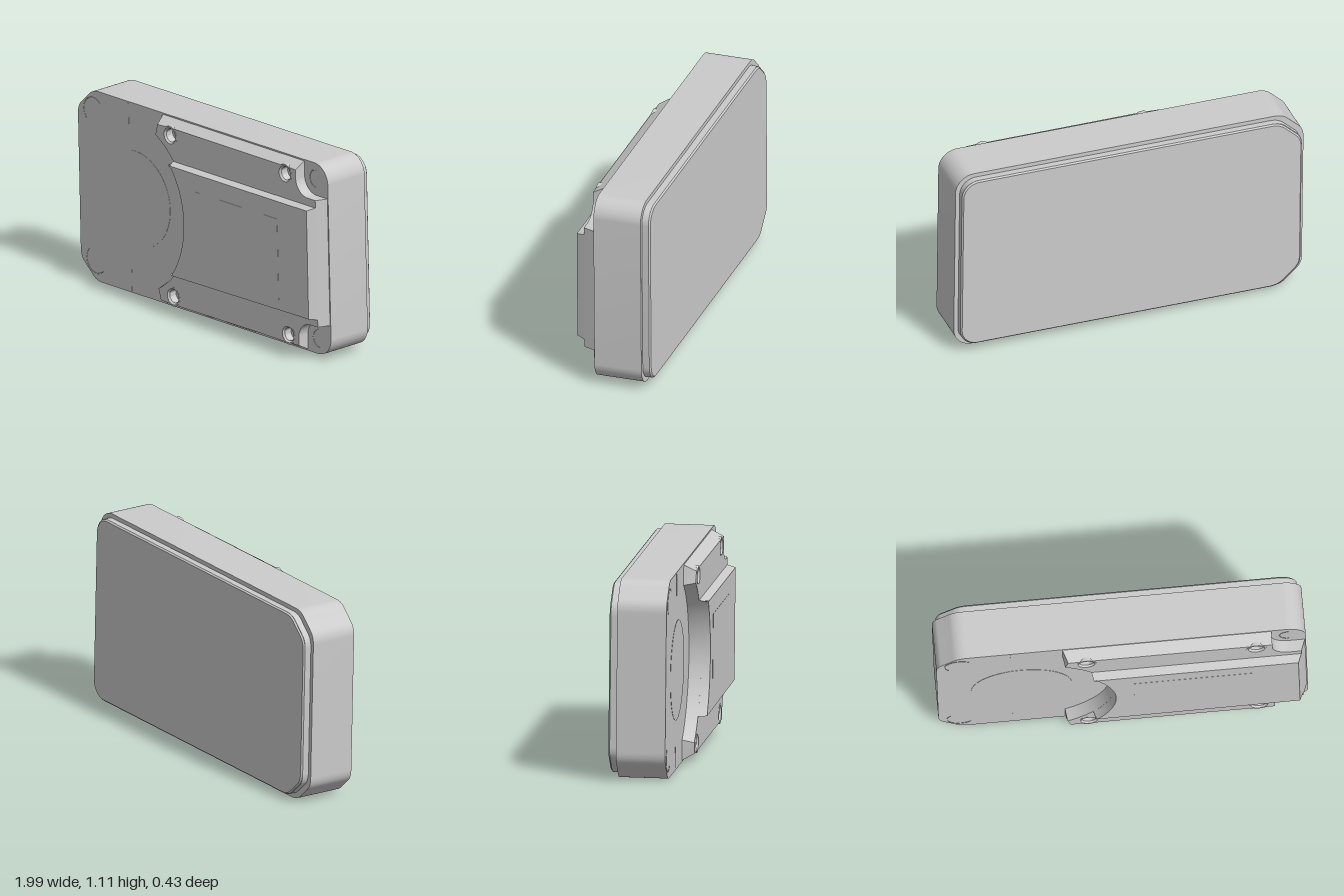
import * as THREE from 'three';
import { toCreasedNormals } from 'three/addons/utils/BufferGeometryUtils.js';

const material = new THREE.MeshStandardMaterial({ color: 0xcccccc });
const ARC_X = -0.553, ARC_R = 0.483; // circular edge of the round recess

function add(parent, name, geometry, x = 0, y = 0, z = 0) {
  const mesh = new THREE.Mesh(geometry, material);
  mesh.name = name;
  mesh.position.set(x, y, z);
  parent.add(mesh);
  return mesh;
}

// Case outline inset by o: chamfered left corners, round right corners
function caseOutline(o) {
  const w = 0.991 - o, h = 0.538 - o, r = 0.105 - o * 0.5;
  const s = new THREE.Shape();
  s.moveTo(-w + 0.17, -h);
  s.lineTo(w - r, -h);
  s.absarc(w - r, -h + r, r, -Math.PI / 2, 0, false);
  s.lineTo(w, h - r);
  s.absarc(w - r, h - r, r, 0, Math.PI / 2, false);
  s.lineTo(-w + 0.17, h);
  s.quadraticCurveTo(-w + 0.12, h, -w + 0.09, h - 0.03);
  s.lineTo(-w + 0.03, h - 0.085);
  s.quadraticCurveTo(-w, h - 0.11, -w, h - 0.16);
  s.lineTo(-w, -h + 0.16);
  s.quadraticCurveTo(-w, -h + 0.11, -w + 0.03, -h + 0.085);
  s.lineTo(-w + 0.09, -h + 0.03);
  s.quadraticCurveTo(-w + 0.12, -h, -w + 0.17, -h);
  return s;
}

// Extrusion whose front end is moved by a taper rule, for sloped walls
function extrude(shape, depth, taper) {
  const g = new THREE.ExtrudeGeometry(shape, { depth, bevelEnabled: false, curveSegments: 32 });
  const p = g.attributes.position;
  if (taper) for (let i = 0; i < p.count; i++) {
    if (p.getZ(i) < depth / 2) continue;
    const [x, y] = taper(p.getX(i), p.getY(i));
    p.setXY(i, x, y);
  }
  return toCreasedNormals(g, 0.5);
}

// Pushes points lying on the circular edge outward by d
function pushArc(x, y, r, d) {
  const len = Math.hypot(x - ARC_X, y);
  if (Math.abs(len - r) > 0.003) return null;
  return [ARC_X + (x - ARC_X) * (r + d) / r, y * (r + d) / r];
}

export function createModel() {
  const model = new THREE.Group();
  model.name = 'enclosure';
  const unit = new THREE.Group();
  unit.name = 'case';
  unit.position.y = 0.556;
  unit.rotation.set(0.012, 0, 0.016);
  model.add(unit);

  // Main housing and back lid
  add(unit, 'housing', extrude(caseOutline(0), 0.265), 0, 0, -0.165);
  add(unit, 'backLid', extrude(caseOutline(0.023), 0.042), 0, 0, -0.202);
  const edge = extrude(caseOutline(0.023), 0.008);
  edge.rotateY(Math.PI).scale(-1, 1, 1);
  edge.dispose();
  add(unit, 'lidChamfer', toCreasedNormals(new THREE.ExtrudeGeometry(caseOutline(0.031), {
    depth: 0.002, bevelThickness: 0.008, bevelSize: 0.008, bevelSegments: 1, curveSegments: 32,
  }), 0.5), 0, 0, -0.202);

  // Raised plateau with circular left edge and notched right corners
  const a = Math.asin(0.419 / ARC_R);
  const plateau = new THREE.Shape();
  plateau.moveTo(-0.313, -0.419);
  plateau.lineTo(-0.313, -0.53);
  plateau.lineTo(0.807, -0.53);
  plateau.lineTo(0.807, -0.45);
  plateau.absarc(0.9, -0.45, 0.093, Math.PI, Math.PI / 2, true);
  plateau.lineTo(0.985, -0.357);
  plateau.lineTo(0.985, 0.357);
  plateau.lineTo(0.9, 0.357);
  plateau.absarc(0.9, 0.45, 0.093, -Math.PI / 2, -Math.PI, true);
  plateau.lineTo(0.807, 0.53);
  plateau.lineTo(-0.313, 0.53);
  plateau.absarc(ARC_X, 0, ARC_R, a, -a, true);
  const screws = [];
  for (const x of [-0.19, 0.722]) for (const y of [-0.453, 0.453]) screws.push([x, y]);
  for (const [x, y] of screws) {
    const hole = new THREE.Path();
    hole.absarc(x, y, 0.046, 0, Math.PI * 2, true);
    plateau.holes.push(hole);
  }
  add(unit, 'plateau', extrude(plateau, 0.065, (x, y) => {
    const onArc = Math.abs(y) < 0.425 && x < 0 && pushArc(x, y, ARC_R, 0.016);
    if (onArc) return onArc;
    if (x < -0.31) x += 0.025;
    if (x > 0.98) x -= 0.025;
    if (Math.abs(y) > 0.525) y -= Math.sign(y) * 0.035;
    return [x, y];
  }), 0, 0, 0.1);

  // Raised centre panel
  const r = ARC_R + 0.016, b = Math.asin(0.315 / r);
  const panel = new THREE.Shape();
  panel.moveTo(0.96, -0.315);
  panel.lineTo(0.96, 0.315);
  panel.absarc(ARC_X, 0, r, b, -b, true);
  add(unit, 'centrePanel', extrude(panel, 0.047, (x, y) => {
    let q = (x < 0 && pushArc(x, y, r, 0.012)) || [x, y];
    if (x > 0.95) q[0] -= 0.02;
    if (Math.abs(y) > 0.31) q[1] = Math.sign(y) * 0.305;
    return q;
  }), 0, 0, 0.165);
  add(unit, 'labelPlate', new THREE.BoxGeometry(0.65, 0.455, 0.004), 0.38, -0.022, 0.211);

  // Screw bosses with countersunk holes
  const profile = [[0.054, 0], [0.054, 0.066], [0.045, 0.066], [0.036, 0.056], [0.036, 0.012], [0, 0.012]]
    .map(([x, y]) => new THREE.Vector2(x, y));
  const boss = toCreasedNormals(new THREE.LatheGeometry(profile, 32).rotateX(Math.PI / 2), 0.5);
  for (const [x, y] of screws) add(unit, 'screwBoss', boss, x, y, 0.1);

  // Fine marks on the flat left face
  const disc = new THREE.CylinderGeometry(0.27, 0.27, 0.003, 64).rotateX(Math.PI / 2);
  add(unit, 'roundMark', disc, -0.54, 0, 0.1);
  for (const side of [-1, 1]) {
    add(unit, 'tickMark', new THREE.BoxGeometry(0.006, 0.12, 0.003), -0.59, side * 0.47, 0.1);
    const arc = add(unit, 'cornerMark', new THREE.TorusGeometry(0.075, 0.002, 6, 24, Math.PI), -0.87, side * 0.42, 0.1);
    arc.rotation.z = side > 0 ? Math.PI / 4 : Math.PI * 3 / 4;
    add(unit, 'padMark', new THREE.TorusGeometry(0.05, 0.002, 6, 24, Math.PI), 0.9, side * 0.45, 0.1)
      .rotation.z = Math.PI / 2;
  }
  return model;
}
